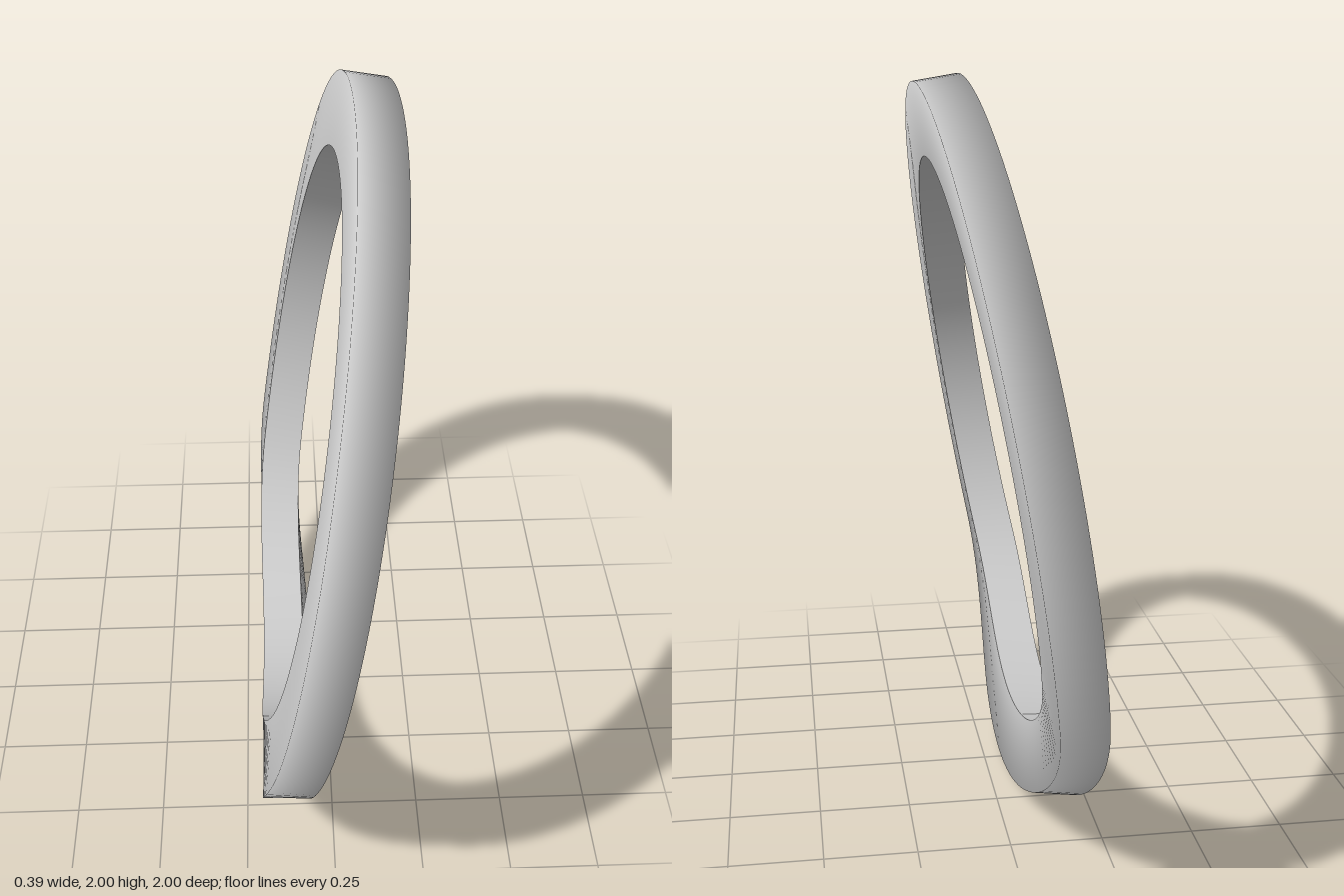
import * as THREE from 'three';

const SEGMENTS = 144;
const HALF_THICKNESS = 0.0615;
const TILT = 0.167;

// Side profile of the ring: leaning straight above, curving back near the foot.
function spine(y) {
  if (y > 0.5) return { x: -0.12 + TILT * (y - 0.5), slope: TILT };
  const k = TILT / 0.2; // change of slope per unit of height in the bend
  const d = Math.min(0.5 - y, 0.4);
  const slope = TILT - k * d;
  const x = -0.12 - TILT * d + (k * d * d) / 2;
  return { x: x - slope * (0.5 - y - d), slope };
}

// Point on the bent ring for an angle, a radius and a side (-1 or 1).
function ringPoint(angle, radius, side) {
  const v = 1 + 0.99 * radius * Math.cos(angle);
  const { x, slope } = spine(v);
  const s = (side * HALF_THICKNESS) / Math.hypot(1, slope);
  return [x + s, v - s * slope, radius * Math.sin(angle)];
}

// Sweeps an open section, a list of [radius, side], around the ring.
function sweep(section) {
  const n = section.length;
  const positions = [];
  const index = [];
  for (let i = 0; i < SEGMENTS; i++) {
    const angle = (i / SEGMENTS) * Math.PI * 2;
    for (const [radius, side] of section) positions.push(...ringPoint(angle, radius, side));
    const next = (i + 1) % SEGMENTS;
    for (let j = 0; j < n - 1; j++) {
      const a = i * n + j, b = a + 1, c = next * n + j, d = c + 1;
      index.push(a, b, c, b, d, c);
    }
  }
  const geometry = new THREE.BufferGeometry();
  geometry.setAttribute('position', new THREE.Float32BufferAttribute(positions, 3));
  geometry.setIndex(index);
  geometry.computeVertexNormals();
  return geometry;
}

export function createModel() {
  const group = new THREE.Group();
  group.name = 'bentRing';
  const material = new THREE.MeshStandardMaterial({ color: 0xcccccc, side: THREE.DoubleSide });

  // Both faces and the rim, shaded smoothly into each other
  const shell = new THREE.Mesh(sweep([[0.8, 1], [1, 1], [1, -1], [0.8, -1]]), material);
  shell.name = 'outerShell';

  // Wall of the opening, with sharp edges towards the faces
  const wall = new THREE.Mesh(sweep([[0.8, -1], [0.8, 1]]), material);
  wall.name = 'innerWall';

  group.add(shell, wall);
  return group;
}
